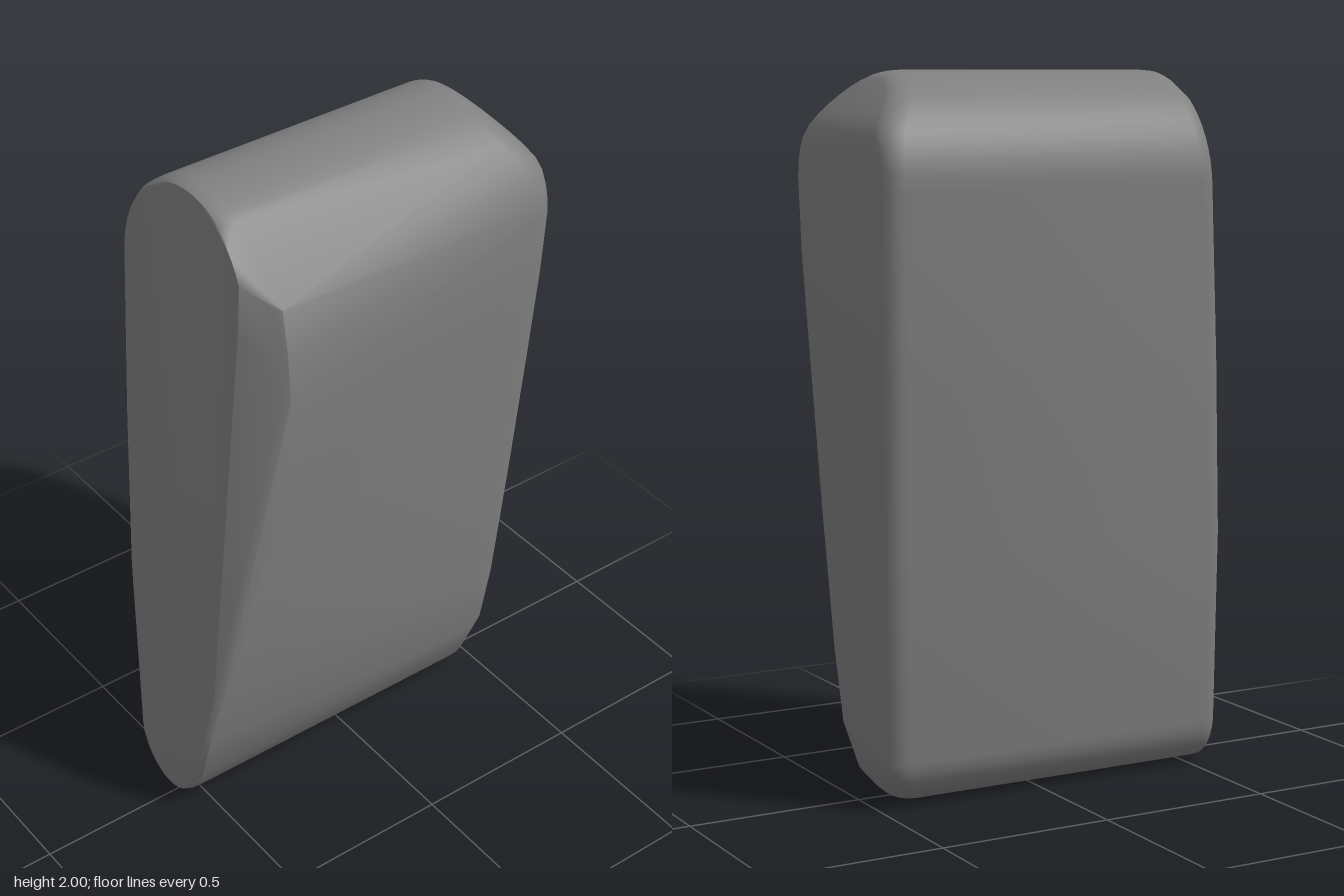
import * as THREE from 'three';
import { ConvexGeometry } from 'three/addons/geometries/ConvexGeometry.js';
import { toCreasedNormals } from 'three/addons/utils/BufferGeometryUtils.js';

const { clamp, lerp } = THREE.MathUtils;
const CX = -0.03, TOP_Y = 1.71, TOP_R = 0.29;

// Slanted front face, as depth by height
const frontZ = (y) => (y < 0.38 ? 0.56 : y < 1.93 ? lerp(0.56, 0.43, (y - 0.38) / 1.55) : 0.42);

// Back face with softened slanted cuts at its top and foot
const softMax = (a, b) => 0.5 * (a + b + Math.hypot(a - b, 0.03));
function backZ(y) {
  const plane = y > 1.6 ? -0.565 : lerp(-0.492, -0.565, y / 1.6);
  return softMax(softMax(plane, -0.43 - (2 - y) * 0.85), -0.42 - y * 0.75);
}

// Points on an arc, angles in degrees
function arc(cx, cy, rx, ry, from, to, n) {
  return Array.from({ length: n + 1 }, (_, i) => {
    const a = THREE.MathUtils.degToRad(lerp(from, to, i / n));
    return [cx + rx * Math.cos(a), cy + ry * Math.sin(a)];
  });
}

// Teardrop outline: rounded top, straight left edge, rounded foot, curved right edge
function outline(topEnd, rightEdge, inset = 0) {
  return [
    ...arc(CX, TOP_Y, TOP_R - inset, TOP_R - inset / 2, topEnd, 184, 24),
    [-0.287 + inset, 1.2], [-0.243 + inset, 0.7],
    ...arc(-0.04, 0.15, 0.15 - inset, 0.15, 185, 325, 12),
    ...rightEdge,
  ];
}

export function createModel() {
  const group = new THREE.Group();
  const points = [];
  const add = (x, y, z) => points.push(new THREE.Vector3(x, y, z));

  // Front face outline
  const face = outline(28, [[0.135, 0.2], [0.175, 0.34], [0.196, 0.5], [0.203, 1], [0.21, 1.5], [0.216, 1.7]], 0.018);
  for (const [x, y] of face) add(x, y, frontZ(y));

  // Rounded rim just behind the front face, on the top, left side and foot
  for (const [x, y] of outline(60, [], 0.006)) add(x, y, frontZ(y) - 0.015);
  for (const [x, y] of outline(60, [], 0.002)) add(x, y, frontZ(y) - 0.04);

  // Flared edge behind the bevel on the left flank
  const flare = [
    [0.13, 0.15, 0.555], [0.177, 0.32, 0.55], [0.215, 0.5, 0.53], [0.243, 0.7, 0.475], [0.273, 0.95, 0.42],
    [0.297, 1.2, 0.385], [0.311, 1.4, 0.365], [0.318, 1.52, 0.36], [0.307, 1.65, 0.36], [0.287, 1.78, 0.36],
  ];
  for (const [x, y, z] of flare) {
    add(x, y, z);
    add(x - 0.015, y, z + 0.018);
  }

  // Rounded back edge: rings shrinking onto the back face
  const back = outline(0, [[0.13, 0.2], [0.165, 0.4], [0.205, 0.8], [0.237, 1.2], [0.257, 1.5]]);
  for (const [shrink, reach] of [[0, 0], [0.08, 0.38], [0.29, 0.71], [0.62, 0.92], [1, 1]]) {
    for (const [x, y] of back) {
      const up = clamp((y - TOP_Y) / TOP_R, 0, 1);
      const down = clamp((0.15 - y) / 0.15, 0, 1);
      const belly = x > 0.1 && y < 1.7 ? 0.09 * Math.sin((Math.PI * y) / 1.8) : 0;
      const yy = y - shrink * 0.02 * (up - down);
      add(CX + (x - CX) * (1 - 0.2 * shrink), yy, backZ(yy) + (0.06 + belly) * (1 - reach));
    }
  }

  const geometry = toCreasedNormals(new ConvexGeometry(points), 0.6);
  const body = new THREE.Mesh(geometry, new THREE.MeshStandardMaterial({ color: 0x808080 }));
  body.name = 'body';
  group.add(body);
  return group;
}
